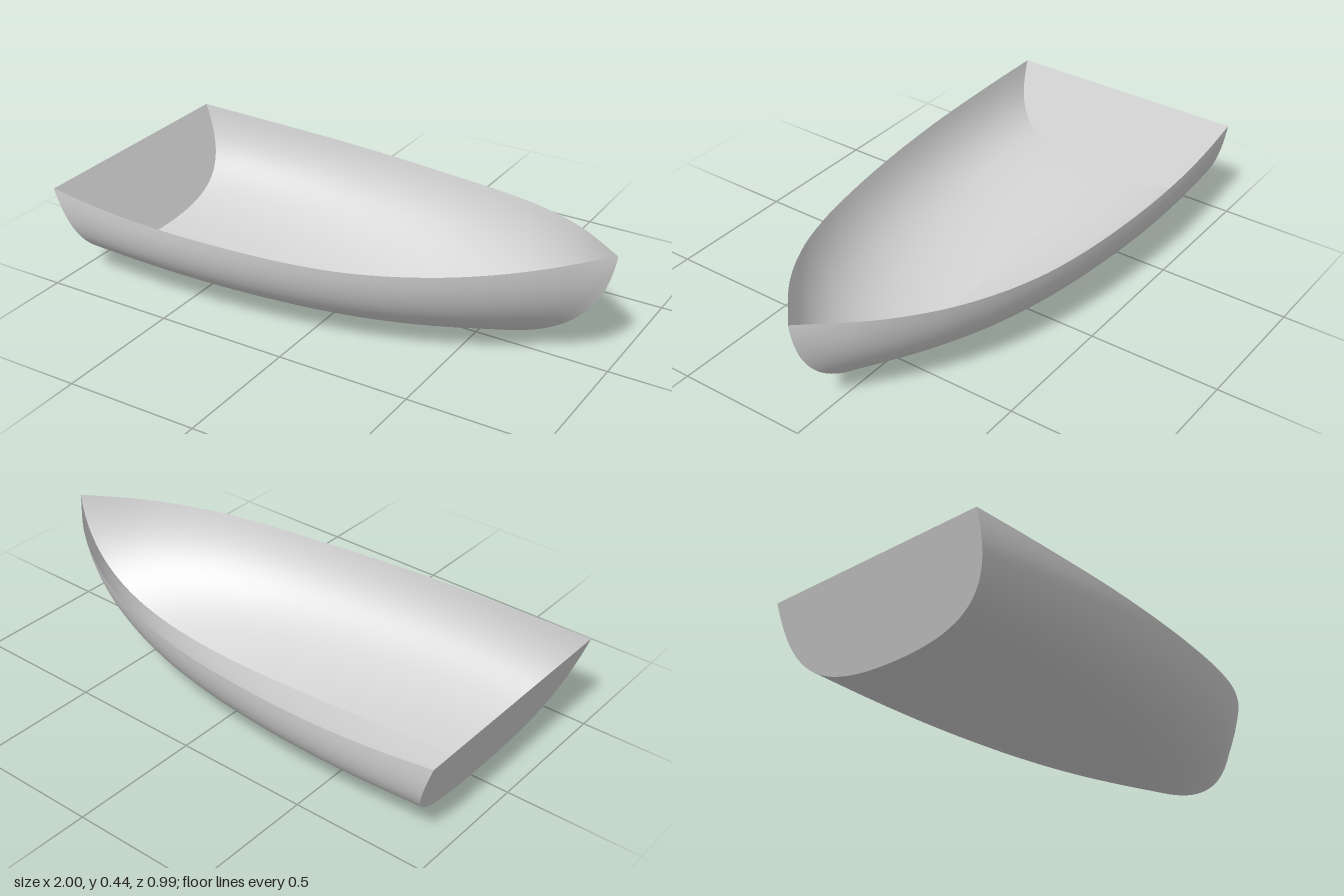
import * as THREE from 'three';

const V2 = (x, y) => new THREE.Vector2(x, y);
const V3 = (x, y, z) => new THREE.Vector3(x, y, z);

// Sheer (top edge of one side): [height, half beam] at even steps from stern to bow
const sheerStations = [
  [0.38, 0.468], [0.367, 0.484], [0.358, 0.492], [0.354, 0.491], [0.352, 0.48], [0.352, 0.46],
  [0.357, 0.427], [0.372, 0.375], [0.393, 0.296], [0.418, 0.175], [0.445, 0],
];
const sheer = new THREE.CatmullRomCurve3(
  sheerStations.map(([y, z], i) => V3(-1 + i * 0.2, y, z)), false, 'catmullrom', 0.5);

// Keel, which sweeps up into the stem at the bow
const keelStart = -0.885;
const keel = new THREE.CubicBezierCurve3(
  V3(keelStart, 0.05, 0), V3(0, 0.027, 0), V3(0.93, -0.17, 0), V3(1, 0.445, 0));

// Rib handles along the hull: round at the stern, easing to a V at the bow
// (x = share of the half beam, y = share of the way down to the keel)
const upperHandle = new THREE.QuadraticBezierCurve(V2(1, 0.69), V2(0.95, 0.65), V2(0.8, 0.45));
const lowerHandle = new THREE.QuadraticBezierCurve(V2(0.8, 1), V2(0.55, 0.93), V2(0.4, 0.7));

function hullPoint(u, v, side) {
  const low = keel.getPoint(u);
  const s = THREE.MathUtils.clamp((low.x - keelStart) / (1 - keelStart), 0, 1);
  const top = sheer.getPoint(s);
  const r = new THREE.CubicBezierCurve(
    V2(1, 0), upperHandle.getPoint(s), lowerHandle.getPoint(s), V2(0, 1)).getPoint(v);
  return V3(
    THREE.MathUtils.lerp(top.x, low.x, r.y),
    THREE.MathUtils.lerp(top.y, low.y, r.y),
    side * top.z * r.x);
}

// Grid surface through point(u, v); flip reverses the facing
function gridSurface(nu, nv, point, flip) {
  const pos = [], index = [];
  for (let i = 0; i <= nu; i++)
    for (let j = 0; j <= nv; j++) pos.push(...point(i / nu, j / nv).toArray());
  for (let i = 0; i < nu; i++)
    for (let j = 0; j < nv; j++) {
      const a = i * (nv + 1) + j, b = a + 1, c = a + nv + 1, d = c + 1;
      if (flip) index.push(a, c, b, b, c, d);
      else index.push(a, b, c, b, d, c);
    }
  const g = new THREE.BufferGeometry();
  g.setAttribute('position', new THREE.Float32BufferAttribute(pos, 3));
  g.setIndex(index);
  g.computeVertexNormals();
  return g;
}

export function createModel() {
  const boat = new THREE.Group();
  boat.name = 'boatHull';
  const grey = new THREE.MeshStandardMaterial({ color: 0xd6d6d6, side: THREE.DoubleSide });
  grey.name = 'hullGrey';

  const add = (name, geometry) => {
    const mesh = new THREE.Mesh(geometry, grey);
    mesh.name = name;
    boat.add(mesh);
  };

  // Two mirrored shell halves meeting along the keel and stem
  add('hullSideFront', gridSurface(72, 24, (u, v) => hullPoint(u, v, 1), false));
  add('hullSideBack', gridSurface(72, 24, (u, v) => hullPoint(u, v, -1), true));

  // Flat raked transom closing the stern
  add('transom', gridSurface(2, 24, (s, v) => {
    const p = hullPoint(0, v, 1);
    p.z *= 1 - 2 * s;
    return p;
  }, true));

  return boat;
}
